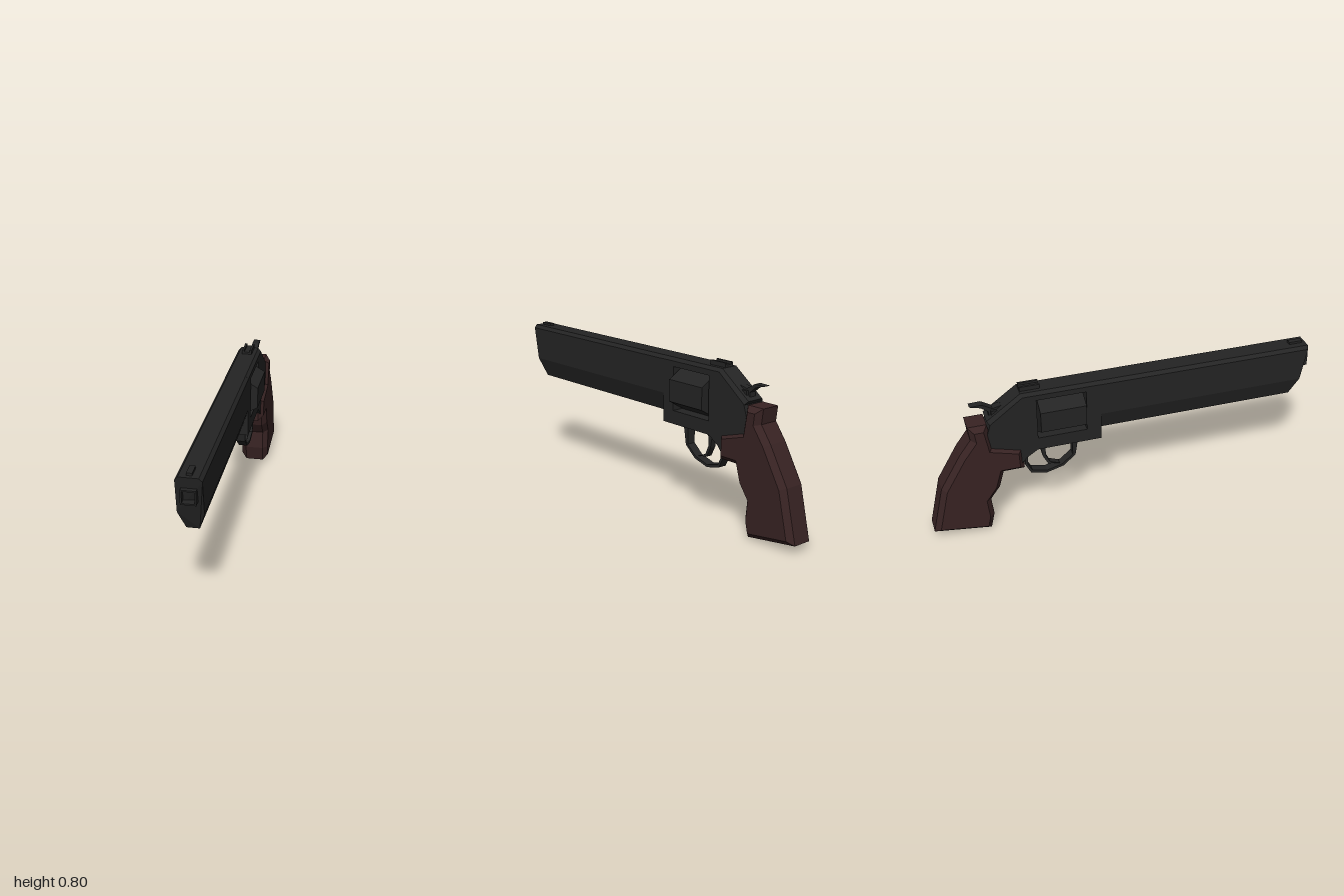
import * as THREE from 'three';

const metal = new THREE.MeshStandardMaterial({ color: 0x242424 });
metal.name = 'dark metal';
const wood = new THREE.MeshStandardMaterial({ color: 0x382323 });
wood.name = 'brown grip';

// Side outlines are lists of [z, y], turned counter-clockwise
function ccw(points) {
  const v = points.map(([z, y]) => new THREE.Vector2(z, y));
  return THREE.ShapeUtils.isClockWise(v) ? v.reverse() : v;
}

// Flat plate of a side outline, centred on x = 0
function plate(points, width, hole) {
  const shape = new THREE.Shape(ccw(points));
  if (hole) shape.holes.push(new THREE.Path(ccw(hole).reverse()));
  return new THREE.ExtrudeGeometry(shape, { depth: width, bevelEnabled: false })
    .translate(0, 0, -width / 2).rotateY(-Math.PI / 2);
}

// Move every side of an outline inwards by d
function inset(v, d) {
  const n = v.length;
  const normal = (a, b) => new THREE.Vector2(a.y - b.y, b.x - a.x).normalize();
  return v.map((p, i) => {
    const n1 = normal(v[(i + n - 1) % n], p);
    const n2 = normal(p, v[(i + 1) % n]);
    return p.clone().addScaledVector(n1.clone().add(n2), d / (1 + n1.dot(n2)));
  });
}

// Faceted solid through outlines [x, Vector2[]], x ascending
function loft(layers) {
  const pos = [];
  const put = (x, p) => pos.push(x, p.y, p.x);
  for (let k = 0; k < layers.length - 1; k++) {
    const [x0, p0] = layers[k], [x1, p1] = layers[k + 1];
    p0.forEach((a, i) => {
      const j = (i + 1) % p0.length;
      put(x0, a); put(x1, p1[j]); put(x0, p0[j]);
      put(x0, a); put(x1, p1[i]); put(x1, p1[j]);
    });
  }
  const [xa, first] = layers[0], [xb, last] = layers[layers.length - 1];
  for (const [a, b, c] of THREE.ShapeUtils.triangulateShape(first, [])) {
    put(xa, first[a]); put(xa, first[b]); put(xa, first[c]);
    put(xb, last[a]); put(xb, last[c]); put(xb, last[b]);
  }
  const g = new THREE.BufferGeometry();
  g.setAttribute('position', new THREE.Float32BufferAttribute(pos, 3));
  g.computeVertexNormals();
  return g;
}

const box = (w, h, d, x, y, z) => new THREE.BoxGeometry(w, h, d).translate(x, y, z);

// Barrel: cross-section along z, with a raked front end
function barrelGeometry() {
  const half = [[0.03, 0.496], [0.06, 0.592], [0.06, 0.763], [0.045, 0.78]];
  const section = [...half, ...half.map(([x, y]) => [-x, y]).reverse()];
  const g = new THREE.ExtrudeGeometry(new THREE.Shape(ccw(section)), { depth: 1, bevelEnabled: false });
  const p = g.attributes.position;
  for (let i = 0; i < p.count; i++) {
    const y = p.getY(i);
    const front = y < 0.592 ? 0.914 + (y - 0.496) * 0.43 : 0.955 + (y - 0.592) * 0.18;
    p.setZ(i, p.getZ(i) > 0.5 ? front : -0.12);
  }
  g.computeVertexNormals();
  return g;
}

export function createModel() {
  const model = new THREE.Group();
  const add = (name, geometry, material = metal) => {
    const mesh = new THREE.Mesh(geometry, material);
    mesh.name = name;
    model.add(mesh);
  };

  add('barrel', barrelGeometry());

  // Square muzzle ring
  const square = (s) => [[-s, -s], [s, -s], [s, s], [-s, s]];
  const ring = new THREE.Shape(ccw(square(0.035)));
  ring.holes.push(new THREE.Path(ccw(square(0.028)).reverse()));
  add('muzzle', new THREE.ExtrudeGeometry(ring, { depth: 0.05, bevelEnabled: false }).translate(0, 0.69, 0.95));

  // Frame with a window for the drum
  add('frame', plate(
    [[-0.12, 0.447], [-0.12, 0.763], [-0.51, 0.763], [-0.675, 0.638], [-0.7, 0.56], [-0.7, 0.48],
      [-0.56, 0.42], [-0.54, 0.37], [-0.505, 0.41], [-0.488, 0.42], [-0.448, 0.447]],
    0.12,
    [[-0.193, 0.515], [-0.443, 0.515], [-0.443, 0.736], [-0.193, 0.736]]));

  // Chamfered strap over the top and rear slope of the frame
  const strap = (h) => ccw([
    [-0.12, 0.762], [-0.12, 0.763 + h], [-0.51 - h * 0.4, 0.763 + h], [-0.675 - h * 0.8, 0.638 + h],
    [-0.674, 0.637], [-0.51, 0.762]]);
  add('topStrap', loft([[-0.06, strap(0.001)], [-0.045, strap(0.017)], [0.045, strap(0.017)], [0.06, strap(0.001)]]));

  // Six-sided drum with a corner pointing up
  const drum = new THREE.CylinderGeometry(0.11, 0.11, 0.23, 6).rotateX(Math.PI / 2).translate(0, 0.625, -0.318).toNonIndexed();
  drum.computeVertexNormals();
  add('drum', drum);

  // Grip with chamfered edges
  const outline = ccw([
    [-0.69, 0.64], [-0.785, 0.64], [-0.775, 0.565], [-0.834, 0.485], [-0.94, 0.304], [-1, 0.046],
    [-0.71, 0.004], [-0.69, 0.09], [-0.7, 0.187], [-0.65, 0.256], [-0.625, 0.344], [-0.518, 0.344],
    [-0.523, 0.47], [-0.668, 0.512]]);
  const inner = inset(outline, 0.025);
  add('grip', loft([[-0.075, inner], [-0.048, outline], [0.048, outline], [0.075, inner]]), wood);

  // Trigger guard band and trigger
  add('triggerGuard', plate([
    [-0.23, 0.455], [-0.248, 0.345], [-0.312, 0.29], [-0.4, 0.265], [-0.482, 0.284], [-0.51, 0.34], [-0.505, 0.43],
    [-0.49, 0.43], [-0.497, 0.343], [-0.474, 0.296], [-0.4, 0.279], [-0.318, 0.302], [-0.262, 0.35], [-0.262, 0.455]],
  0.046));
  add('trigger', plate([
    [-0.375, 0.455], [-0.4, 0.42], [-0.4, 0.37], [-0.38, 0.325], [-0.33, 0.305],
    [-0.39, 0.315], [-0.415, 0.365], [-0.425, 0.42], [-0.455, 0.455]], 0.032));

  // Hammer with its thumb spur
  add('hammer', plate([
    [-0.59, 0.69], [-0.608, 0.715], [-0.65, 0.705], [-0.7, 0.735], [-0.76, 0.733], [-0.705, 0.718],
    [-0.67, 0.69], [-0.672, 0.645], [-0.62, 0.65]], 0.036));
  add('hammerPivot', box(0.06, 0.025, 0.03, 0, 0.685, -0.645));

  // Sights
  add('frontSight', box(0.026, 0.02, 0.07, 0, 0.782, 0.935));
  add('rearSightBase', box(0.05, 0.02, 0.1, 0, 0.781, -0.465));
  for (const s of [-1, 1]) add(s > 0 ? 'leftRearSightPost' : 'rightRearSightPost', box(0.011, 0.025, 0.1, s * 0.0195, 0.79, -0.465));

  return model;
}
